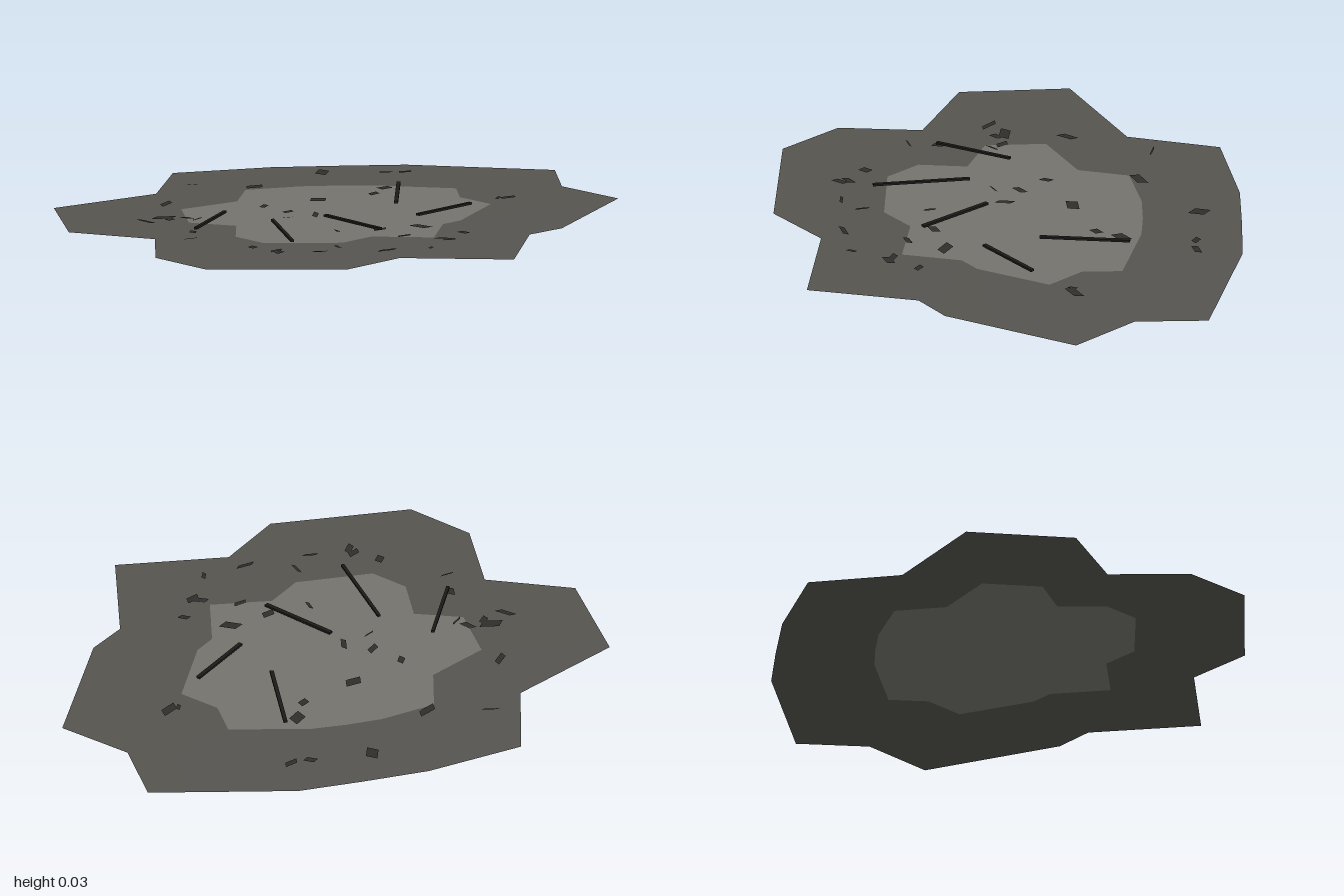
import * as THREE from 'three';

const material = (color, flatShading = false) =>
  new THREE.MeshStandardMaterial({ color, flatShading, side: THREE.DoubleSide });

// Ragged outline as [x, z], and the inner outline at the same spokes
const OUTER = [
  [1, -0.27], [0.585, -0.61], [0.38, -0.71], [0.15, -0.815], [-0.2, -0.91], [-0.42, -0.65],
  [-0.85, -0.635], [-1, -0.27], [-0.79, -0.02], [-0.94, 0.24], [-0.88, 0.49], [-0.44, 0.745],
  [-0.19, 0.68], [0.15, 0.905], [0.4, 0.585], [0.55, 0.555], [0.965, 0.24], [0.89, -0.03],
];
const INNER = [
  [0.53, -0.16], [0.3, -0.35], [0.19, -0.41], [0.07, -0.465], [-0.13, -0.515], [-0.25, -0.37],
  [-0.485, -0.36], [-0.57, -0.16], [-0.45, -0.03], [-0.54, 0.12], [-0.505, 0.26], [-0.26, 0.395],
  [-0.12, 0.36], [0.065, 0.485], [0.2, 0.315], [0.285, 0.295], [0.51, 0.12], [0.47, -0.03],
];
const RIM_Y = 0.008;
const CENTRE_Y = 0.012;

// Loose chips: [x, z, length, width, turn in degrees]
const INNER_CHIPS = [
  [0.3, -0.27, 0.07, 0.045, 20], [0.22, -0.21, 0.05, 0.03, 15], [0, -0.225, 0.07, 0.045, -15],
  [-0.22, -0.23, 0.05, 0.025, 40], [-0.19, -0.11, 0.06, 0.025, 20], [-0.13, -0.02, 0.075, 0.02, 55],
  [-0.24, -0.03, 0.05, 0.006, 5], [-0.53, -0.17, 0.06, 0.008, 20], [-0.195, 0.245, 0.05, 0.012, 75],
  [-0.05, 0.3, 0.06, 0.03, 0], [0.1, 0.33, 0.08, 0.04, -55],
];
const OUTER_CHIPS = [
  [-0.26, -0.67, 0.07, 0.006, -40], [0.24, -0.61, 0.075, 0.045, 50], [-0.085, -0.53, 0.085, 0.035, 5],
  [0.435, -0.5, 0.05, 0.025, -50], [0.5, -0.47, 0.06, 0.025, -5], [-0.495, -0.45, 0.08, 0.025, 30],
  [-0.7, -0.24, 0.08, 0.02, -70], [-0.615, -0.26, 0.09, 0.04, -30], [-0.61, -0.225, 0.05, 0.025, 30],
  [-0.545, -0.215, 0.06, 0.025, -75], [-0.64, -0.01, 0.05, 0.025, 60], [-0.7, 0.08, 0.06, 0.006, -10],
  [0.61, 0.07, 0.08, 0.035, 10], [0.575, 0.06, 0.04, 0.015, 40], [-0.58, 0.31, 0.045, 0.03, 35],
  [-0.535, 0.4, 0.06, 0.025, 10], [-0.54, 0.43, 0.06, 0.025, 35], [-0.41, 0.49, 0.06, 0.012, -30],
  [-0.315, 0.455, 0.06, 0.012, 80], [-0.02, 0.42, 0.06, 0.02, -5], [0.19, 0.48, 0.045, 0.025, -60],
  [0.075, 0.525, 0.06, 0.025, -45], [0.09, 0.55, 0.06, 0.03, 0], [-0.19, 0.59, 0.08, 0.018, -10],
  [-0.035, 0.635, 0.04, 0.015, 45],
];

// Long splinters: [x0, z0, x1, z1, width]
const SPLINTERS = [
  [-0.635, 0, -0.41, -0.18, 0.012], [-0.33, 0.02, -0.44, 0.35, 0.012],
  [-0.13, 0.05, -0.07, 0.335, 0.016], [0.19, 0, 0.36, -0.275, 0.014],
  [0.16, 0.205, 0.415, 0.14, 0.015],
];

// Joins two closed outlines of equal count with a band of faces facing up
function band(outer, outerY, inner, innerY) {
  const n = outer.length;
  const positions = [], index = [];
  outer.forEach(([x, z], i) => {
    positions.push(x, outerY, z, inner[i][0], innerY, inner[i][1]);
    const a = i * 2, b = ((i + 1) % n) * 2;
    index.push(a, b, a + 1, b, b + 1, a + 1);
  });
  const g = new THREE.BufferGeometry();
  g.setAttribute('position', new THREE.Float32BufferAttribute(positions, 3));
  g.setIndex(index);
  g.computeVertexNormals();
  return g;
}

function addMesh(parent, name, geometry, mat) {
  const mesh = new THREE.Mesh(geometry, mat);
  mesh.name = name;
  parent.add(mesh);
  return mesh;
}

// Flat skewed four-sided flake lying in the ground plane
function chipGeometry() {
  const shape = new THREE.Shape([
    new THREE.Vector2(-0.5, -0.4), new THREE.Vector2(0.28, -0.5),
    new THREE.Vector2(0.5, 0.4), new THREE.Vector2(-0.28, 0.5),
  ]);
  return new THREE.ShapeGeometry(shape).rotateX(-Math.PI / 2);
}

export function createModel() {
  const model = new THREE.Group();
  model.name = 'scorchedDebrisPatch';

  // Shallow domed ground: dark border and paler middle
  addMesh(model, 'outerGround', band(OUTER, 0, INNER, RIM_Y), material(0x55544f));
  const centre = INNER.map(() => [-0.02, -0.02]);
  addMesh(model, 'innerGround', band(INNER, RIM_Y, centre, CENTRE_Y), material(0x74736d));

  // Scattered chips resting just above the ground, slightly tilted
  const chips = new THREE.Group();
  chips.name = 'chips';
  model.add(chips);
  const flake = chipGeometry();
  const chipMaterial = material(0x2f2e2b, true);
  const addChips = (list, y) => list.forEach(([x, z, length, width, turn], i) => {
    const chip = addMesh(chips, 'chip', flake, chipMaterial);
    chip.position.set(x, y, z);
    chip.rotation.set(0.05 * ((i % 3) - 1), THREE.MathUtils.degToRad(turn), 0.04 * ((i % 2) * 2 - 1), 'YXZ');
    chip.scale.set(length, 1, width);
  });
  addChips(INNER_CHIPS, 0.015);
  addChips(OUTER_CHIPS, 0.012);

  // Long splinters on top
  const splinters = new THREE.Group();
  splinters.name = 'splinters';
  model.add(splinters);
  const splinterMaterial = material(0x1b1a18, true);
  SPLINTERS.forEach(([x0, z0, x1, z1, width]) => {
    const length = Math.hypot(x1 - x0, z1 - z0);
    const stick = addMesh(splinters, 'splinter', new THREE.BoxGeometry(length, 0.008, width), splinterMaterial);
    stick.position.set((x0 + x1) / 2, 0.026, (z0 + z1) / 2);
    stick.rotation.y = -Math.atan2(z1 - z0, x1 - x0);
  });

  return model;
}
